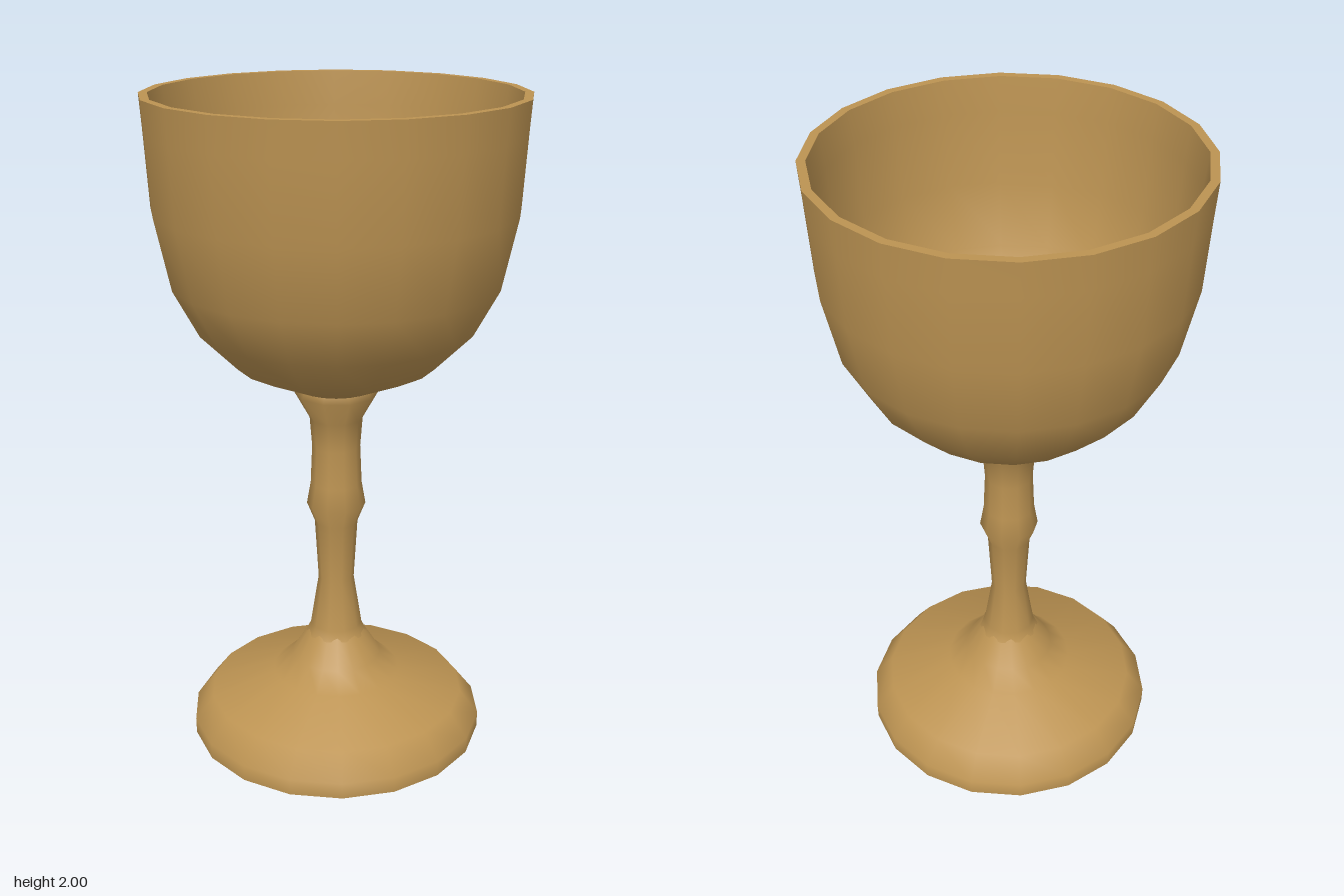
import * as THREE from 'three';

// Revolves a list of [radius, height] pairs; the outside runs upward, the inside downward.
function turned(name, profile, sides, material) {
  const points = profile.map(([r, y]) => new THREE.Vector2(r, y));
  const mesh = new THREE.Mesh(new THREE.LatheGeometry(points, sides), material);
  mesh.name = name;
  return mesh;
}

export function createModel() {
  const goblet = new THREE.Group();
  goblet.name = 'goblet';
  const brass = new THREE.MeshStandardMaterial({ color: 0xbc9352 });
  brass.name = 'brass';

  // Bowl: outer wall, flat lip and inner wall, separate to keep the lip crisp
  const bowl = new THREE.Group();
  bowl.name = 'bowl';
  bowl.add(
    turned('bowlOutside', [
      [0.06, 1.13], [0.12, 1.14], [0.3, 1.22], [0.41, 1.33], [0.485, 1.47],
      [0.53, 1.68], [0.543, 1.9], [0.55, 2],
    ], 20, brass),
    turned('lip', [[0.55, 2], [0.525, 2]], 20, brass),
    turned('bowlInside', [
      [0.525, 2], [0.515, 1.9], [0.5, 1.68], [0.455, 1.49], [0.38, 1.36],
      [0.27, 1.26], [0.11, 1.19], [0, 1.18],
    ], 20, brass),
  );

  // Stem with a small knop and a flared collar under the bowl
  const stem = turned('stem', [
    [0.095, 0.32], [0.08, 0.35], [0.055, 0.51], [0.066, 0.7], [0.09, 0.76],
    [0.078, 0.83], [0.073, 0.95], [0.08, 1.04], [0.125, 1.12], [0.11, 1.15],
  ], 10, brass);

  // Foot, hollow underneath
  const foot = new THREE.Group();
  foot.name = 'foot';
  foot.add(
    turned('footOutside', [
      [0.457, 0], [0.458, 0.05], [0.4, 0.125], [0.2, 0.19], [0.14, 0.245],
      [0.09, 0.325], [0.07, 0.35],
    ], 18, brass),
    turned('footEdge', [[0.42, 0], [0.457, 0]], 18, brass),
    turned('footUnderside', [
      [0, 0.3], [0.05, 0.28], [0.17, 0.16], [0.37, 0.095], [0.42, 0.04], [0.42, 0],
    ], 18, brass),
  );

  goblet.add(bowl, stem, foot);
  return goblet;
}
